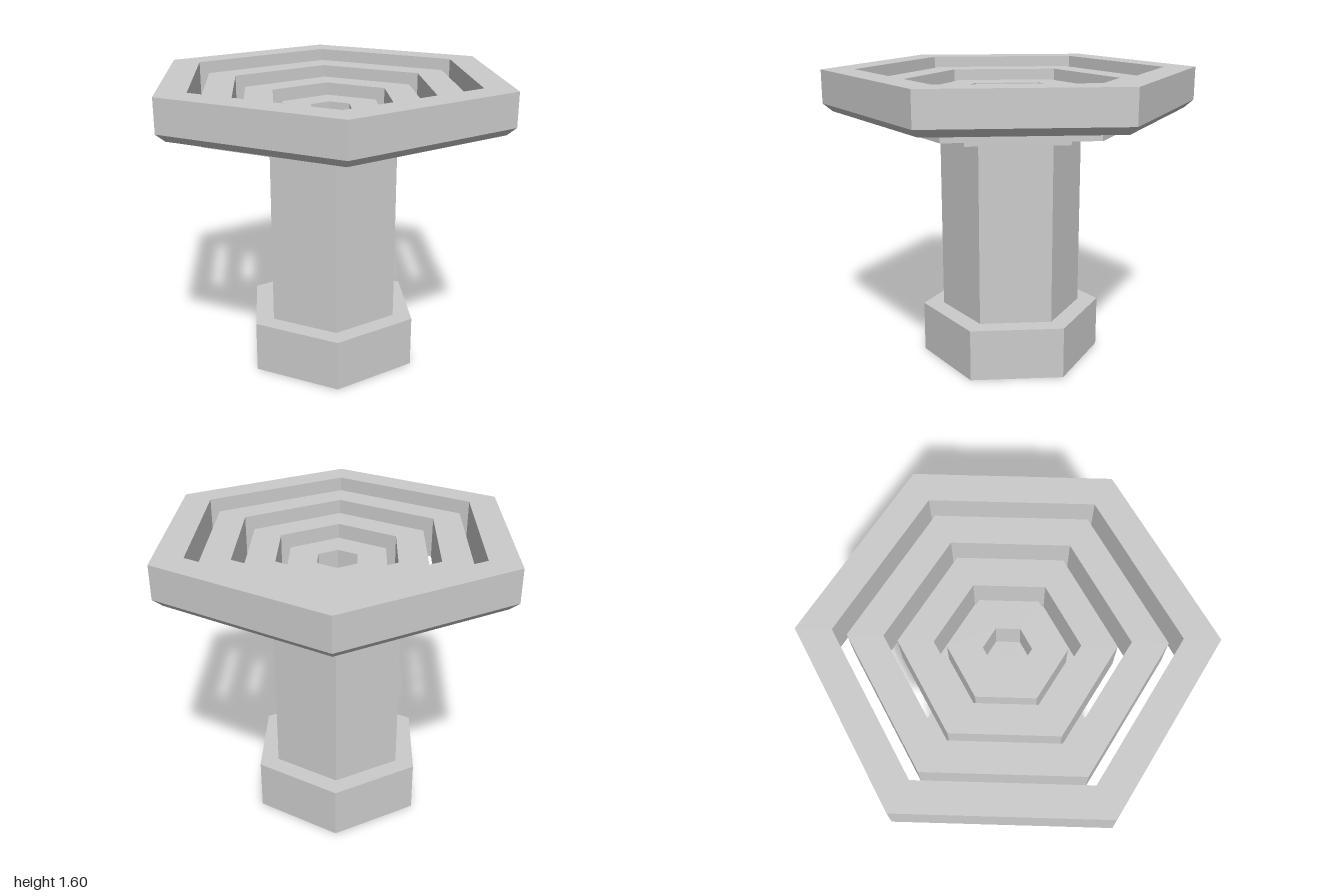
import * as THREE from 'three';

const material = new THREE.MeshStandardMaterial({ color: 0xcccccc, flatShading: true });

// Six-sided solid turned from a profile of [radius, height], corners on the x axis
function hexLathe(name, profile) {
  const points = profile.map(([r, y]) => new THREE.Vector2(r, y));
  const mesh = new THREE.Mesh(new THREE.LatheGeometry(points, 6, Math.PI / 6), material);
  mesh.name = name;
  return mesh;
}

const hexPrism = (name, r, y0, y1) =>
  hexLathe(name, [[0, y0], [r, y0], [r, y1], [0, y1]]);

// Ring with an optional chamfer on its lower outer edge
function hexRing(name, outer, inner, y0, y1, chamfer = 0) {
  const profile = [[inner, y0], [outer - chamfer, y0]];
  if (chamfer) profile.push([outer, y0 + chamfer * 0.84]);
  profile.push([outer, y1], [inner, y1], [inner, y0]);
  return hexLathe(name, profile);
}

export function createModel() {
  const model = new THREE.Group();
  model.name = 'hexagonalPedestal';

  // Foot and column
  model.add(hexPrism('base', 0.495, 0, 0.28));
  model.add(hexPrism('column', 0.383, 0.28, 1.268));

  // Nested rings, each stepping down towards the middle
  const names = ['rimRing', 'middleRing', 'innerRing', 'centreRing'];
  const step = 0.235, width = 0.175, drop = 0.057, height = 0.22;
  names.forEach((name, i) => {
    const outer = 1 - i * step, top = 1.6 - i * drop;
    model.add(hexRing(name, outer, outer - width, top - height, top, i === 0 ? 0.05 : 0));
  });

  return model;
}
